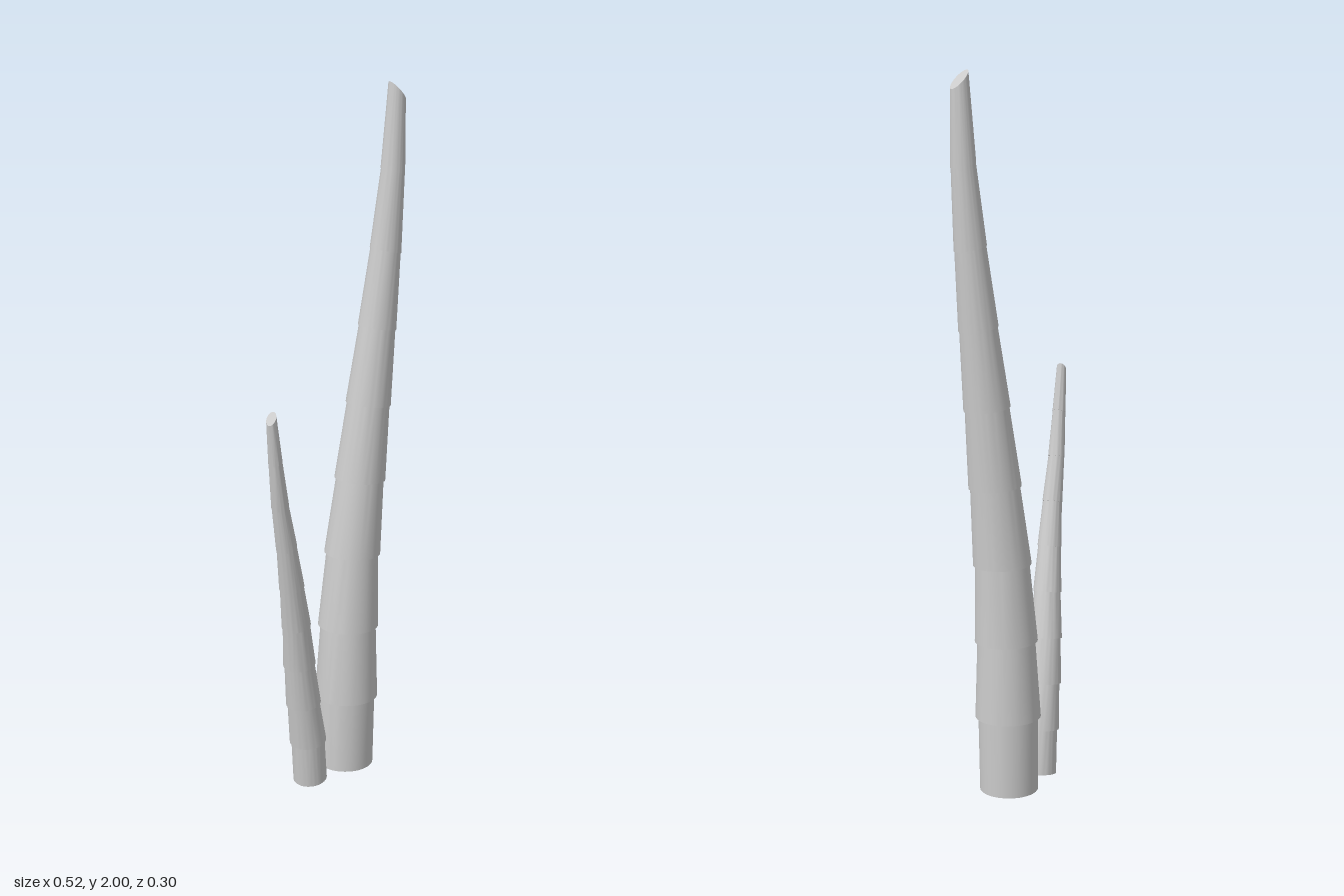
import * as THREE from 'three';
import { toCreasedNormals } from 'three/addons/utils/BufferGeometryUtils.js';

const material = new THREE.MeshStandardMaterial({ color: 0xcccccc, side: THREE.DoubleSide });
const SIDES = 48;

// Each joint is [x, y, z, radius]: the base, the flared foot of every segment, the tip
const TALL = [
  [0.083, 0.01, -0.06, 0.082], [0.086, 0.225, -0.06, 0.092], [0.092, 0.446, -0.06, 0.088],
  [0.105, 0.667, -0.06, 0.081], [0.129, 0.888, -0.06, 0.073], [0.155, 1.107, -0.06, 0.064],
  [0.182, 1.325, -0.06, 0.054], [0.207, 1.54, -0.06, 0.044], [0.228, 1.757, -0.06, 0.034],
  [0.239, 1.975, -0.06, 0.024],
];
const SHORT = [
  [-0.061, 0.009, -0.01, 0.049], [-0.073, 0.137, 0.0, 0.053], [-0.095, 0.267, 0.015, 0.05],
  [-0.115, 0.396, 0.03, 0.046], [-0.135, 0.525, 0.051, 0.041], [-0.16, 0.652, 0.074, 0.035],
  [-0.185, 0.778, 0.094, 0.029], [-0.212, 0.905, 0.111, 0.024], [-0.232, 1.035, 0.125, 0.019],
  [-0.248, 1.16, 0.135, 0.0135],
];

function createStalk(name, joints, lean, tilt, tipSlope) {
  const last = joints.length - 1;

  // Rings from base to tip: each joint has a narrow top below the flared foot above
  const rings = [];
  joints.forEach(([x, y, z, r], i) => {
    const slope = i === last ? tipSlope : tilt + 0.36 * (i / last) ** 2;
    const ring = { x, y, z, r, slope };
    if (i > 0 && i < last) rings.push({ ...ring, r: r * (0.9 + 0.08 * i / last) });
    rings.push(ring);
  });

  // Puts a unit-circle vertex onto a ring that tips down towards the lean
  const place = (pos, i, ring) => {
    const dx = pos.getX(i) * ring.r, dz = pos.getZ(i) * ring.r;
    const drop = ring.slope * (dx * lean[0] + dz * lean[1]);
    pos.setXYZ(i, ring.x + dx, ring.y - drop, ring.z + dz);
  };

  // Jointed tube, open at the base
  const tube = new THREE.CylinderGeometry(1, 1, 1, SIDES, rings.length - 1, true);
  const pos = tube.attributes.position;
  for (let i = 0; i < pos.count; i++) {
    const row = Math.floor(i / (SIDES + 1));
    place(pos, i, rings[rings.length - 1 - row]);
  }
  const stem = new THREE.Mesh(toCreasedNormals(tube, 0.6), material);
  stem.name = name + 'Stem';

  // Slanted cut that closes the tip
  const cut = new THREE.CircleGeometry(1, SIDES).rotateX(-Math.PI / 2);
  const cutPos = cut.attributes.position;
  for (let i = 0; i < cutPos.count; i++) place(cutPos, i, rings[rings.length - 1]);
  cut.computeVertexNormals();
  const tip = new THREE.Mesh(cut, material);
  tip.name = name + 'TipCut';

  const stalk = new THREE.Group();
  stalk.name = name + 'Stalk';
  stalk.add(stem, tip);
  return stalk;
}

export function createModel() {
  const model = new THREE.Group();
  model.name = 'jointedStalks';
  model.add(createStalk('tall', TALL, [1, 0], 0, 1.05));
  model.add(createStalk('short', SHORT, [-0.79, 0.61], 0.15, 1.2));
  return model;
}
